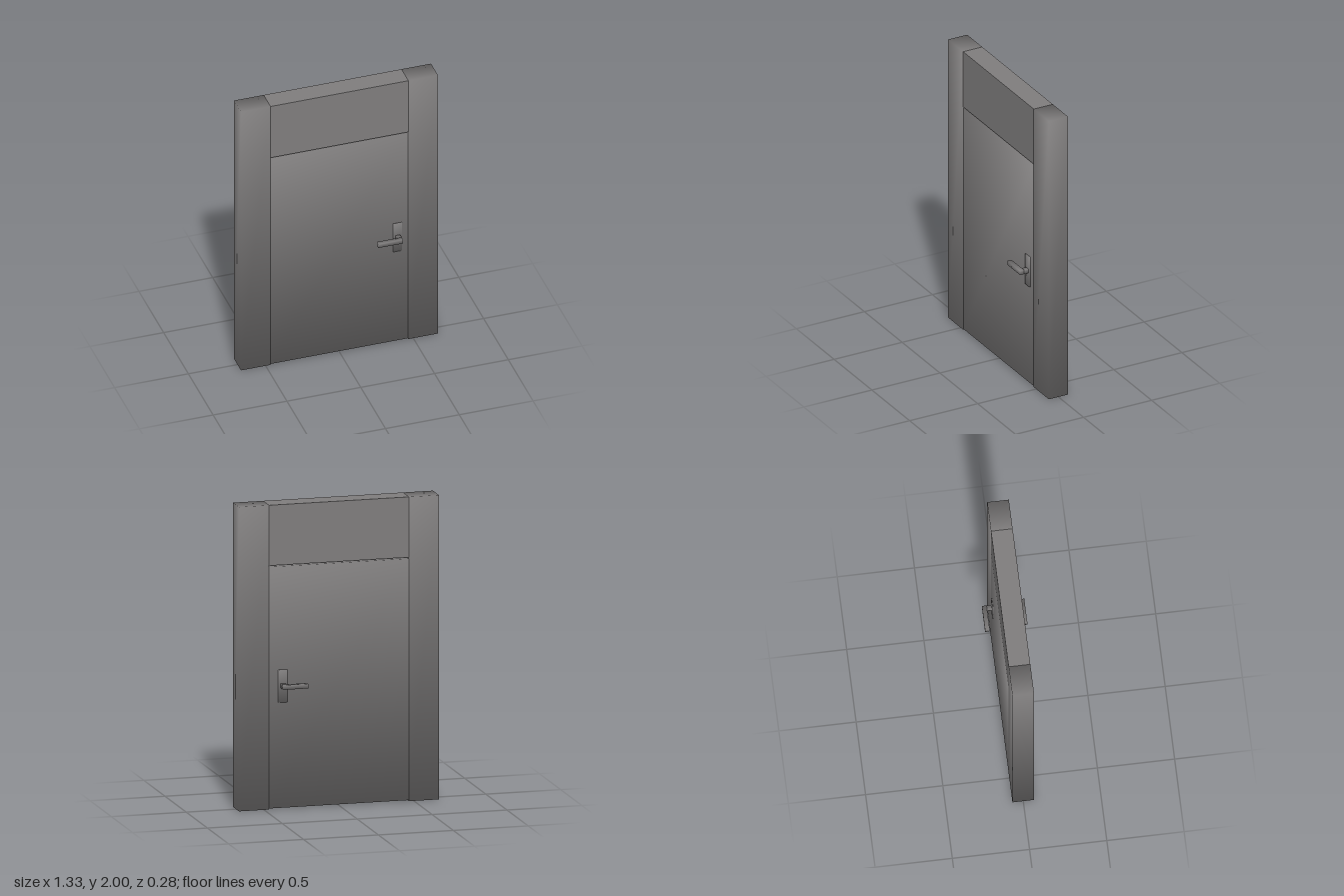
import * as THREE from 'three';

const metal = new THREE.MeshStandardMaterial({ color: 0x7f7d7d });
metal.name = 'grey';

// Box from min to max corners; soft boxes have normals fanned out at the corners
function box(name, [x0, x1], [y0, y1], [z0, z1], soft = true) {
  const geo = new THREE.BoxGeometry(x1 - x0, y1 - y0, z1 - z0);
  if (soft) {
    const p = geo.attributes.position;
    const n = new THREE.Vector3();
    for (let i = 0; i < p.count; i++) {
      n.set(Math.sign(p.getX(i)), Math.sign(p.getY(i)), Math.sign(p.getZ(i))).normalize();
      geo.attributes.normal.setXYZ(i, n.x, n.y, n.z);
    }
  }
  const mesh = new THREE.Mesh(geo, metal);
  mesh.name = name;
  mesh.position.set((x0 + x1) / 2, (y0 + y1) / 2, (z0 + z1) / 2);
  return mesh;
}

// Backplate, neck and lever on one face of the door (side = 1 front, -1 back)
function handle(name, side, dx) {
  const group = new THREE.Group();
  group.name = name;
  const depth = (a, b) => (side > 0 ? [a, b] : [-b, -a]);
  group.add(
    box('backplate', [0.361 + dx, 0.423 + dx], [0.70, 0.915], depth(0.065, 0.077)),
    box('neck', [0.378 + dx, 0.408 + dx], [0.796, 0.825], depth(0.077, 0.108)),
    box('lever', [0.24 + dx, 0.408 + dx], [0.796, 0.825], depth(0.108, 0.138)),
  );
  return group;
}

export function createModel() {
  const model = new THREE.Group();
  model.name = 'door';
  const z = [-0.07, 0.07];

  // Frame
  model.add(
    box('rightPost', [-0.667, -0.467], [0, 2], z),
    box('leftPost', [0.467, 0.667], [0, 2], z),
    box('lintel', [-0.467, 0.467], [1.603, 2], z, false),
  );

  // Door leaf, with a small gap above and below
  model.add(box('doorLeaf', [-0.466, 0.466], [0.007, 1.594], z));

  // Handles on both faces
  model.add(handle('frontHandle', 1, 0), handle('backHandle', -1, -0.017));
  return model;
}
